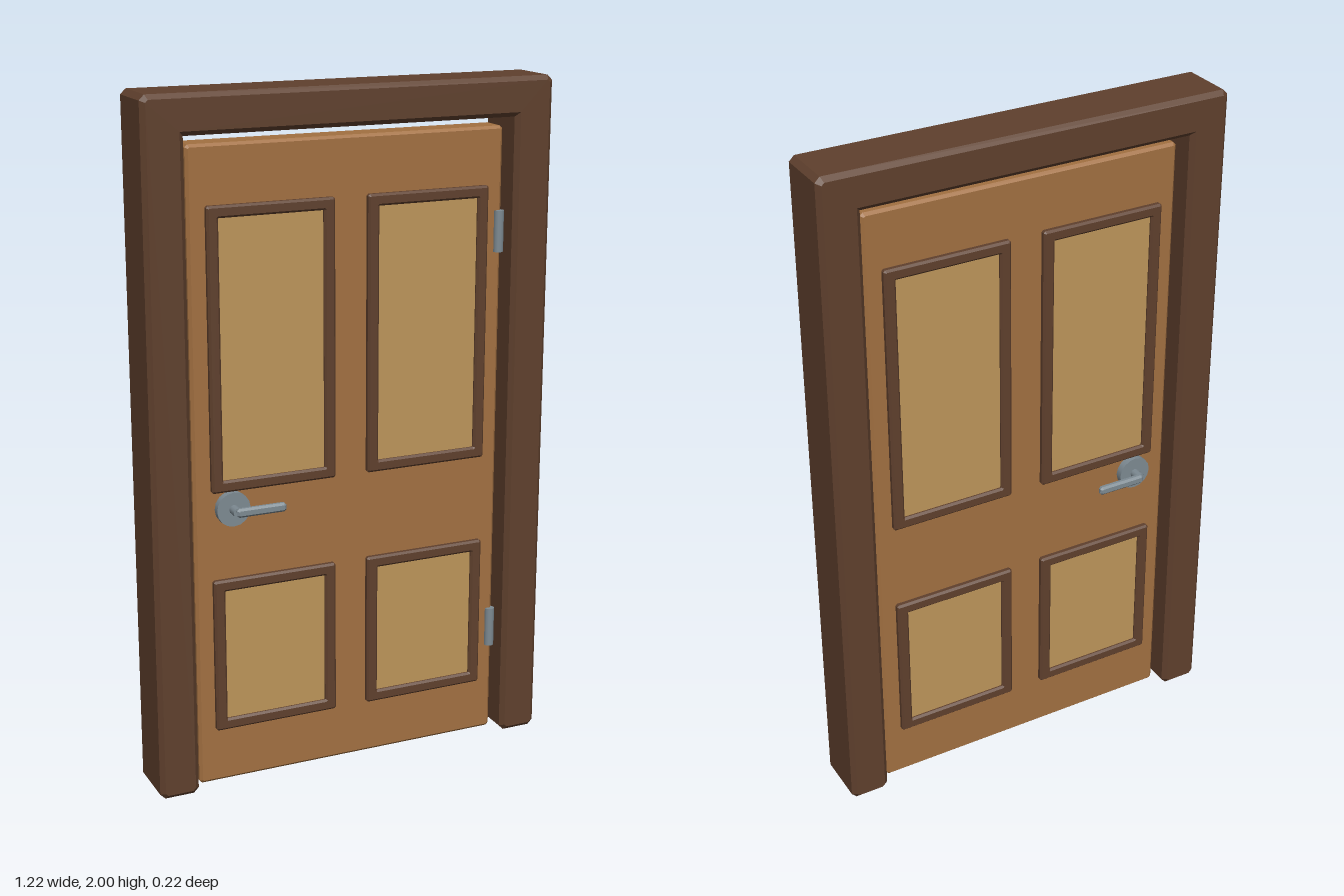
import * as THREE from 'three';

const material = (name, color) => {
  const m = new THREE.MeshStandardMaterial({ color });
  m.name = name;
  return m;
};

// Rectangle outline with cut corners, centred on (x, y)
function cutRect(PathType, w, h, c, x = 0, y = 0) {
  const a = w / 2, b = h / 2;
  const pts = [[a - c, -b], [a, -b + c], [a, b - c], [a - c, b], [-a + c, b], [-a, b - c], [-a, -b + c], [-a + c, -b]];
  return new PathType(pts.map(([px, py]) => new THREE.Vector2(x + px, y + py)));
}

// Extrude an outline to total depth d, centred on z, with chamfered edges
function chamfered(shape, d, bevel) {
  const g = new THREE.ExtrudeGeometry(shape, {
    depth: d - 2 * bevel, bevelEnabled: true, bevelSegments: 1,
    bevelThickness: bevel, bevelSize: bevel, bevelOffset: -bevel,
  });
  return g.translate(0, 0, -d / 2 + bevel);
}

const slab = (w, h, d, bevel) => chamfered(cutRect(THREE.Shape, w, h, bevel), d, bevel);

export function createModel() {
  const model = new THREE.Group();
  model.name = 'door';
  const darkWood = material('dark wood', 0x5f402d);
  const doorWood = material('door wood', 0xa27041);
  const panelWood = material('panel wood', 0xbd955a);
  const metal = material('metal', 0x7d8a92);

  function add(parent, name, geometry, mat, x = 0, y = 0, z = 0) {
    const mesh = new THREE.Mesh(geometry, mat);
    mesh.name = name;
    mesh.position.set(x, y, z);
    parent.add(mesh);
    return mesh;
  }

  // Frame: two posts and a lintel in one outline, cut at the outer corners and feet
  const X = 0.61, I = 0.493, T = 1.888, c = 0.015;
  const half = [[I, T], [I, c], [I + c, 0], [X - c, 0], [X, c], [X, 2 - c], [X - c, 2]];
  const outline = [...half, ...half.slice().reverse().map(([x, y]) => [-x, y])];
  const frameShape = new THREE.Shape(outline.map(([x, y]) => new THREE.Vector2(x, y)));
  add(model, 'frame', chamfered(frameShape, 0.18, 0.013), darkWood);

  // Door leaf
  add(model, 'leaf', slab(0.952, 1.855, 0.09, 0.008), doorWood, 0, 0.9325, 0);

  // Four panels with raised trim, showing on both faces
  const rows = [{ name: 'upper', y: 1.293, h: 0.805 }, { name: 'lower', y: 0.4, h: 0.46 }];
  for (const { name, y, h } of rows) {
    const w = 0.376, t = 0.034;
    for (const side of [1, -1]) {
      const label = name + (side > 0 ? 'Left' : 'Right');
      const x = side * 0.238;
      add(model, label + 'Panel', slab(w - 2 * t + 0.012, h - 2 * t + 0.012, 0.104, 0.006), panelWood, x, y, 0);
      const trim = cutRect(THREE.Shape, w, h, 0.005);
      trim.holes.push(cutRect(THREE.Path, w - 2 * t, h - 2 * t, 0.001));
      add(model, label + 'Trim', chamfered(trim, 0.124, 0.006), darkWood, x, y, 0);
    }
  }

  // Lever handles on both faces
  const disc = (r, d, sides) => new THREE.CylinderGeometry(r, r, d, sides).rotateX(Math.PI / 2).toNonIndexed();
  for (const face of ['front', 'back']) {
    const handle = new THREE.Group();
    handle.name = face + 'Handle';
    handle.position.set(-0.365, 0.84, 0);
    if (face === 'back') handle.rotation.x = Math.PI;
    add(handle, 'rosette', disc(0.05, 0.026, 16), metal, 0, 0, 0.053);
    add(handle, 'neck', disc(0.014, 0.04, 12), metal, 0, 0, 0.08);
    add(handle, 'lever', slab(0.148, 0.026, 0.02, 0.006), metal, 0.069, 0, 0.099);
    model.add(handle);
  }

  // Hinge barrels on the front edge
  for (const [name, y] of [['upperHinge', 1.56], ['lowerHinge', 0.34]]) {
    add(model, name, new THREE.CylinderGeometry(0.015, 0.015, 0.12, 12), metal, 0.467, y, 0.045);
  }
  return model;
}
